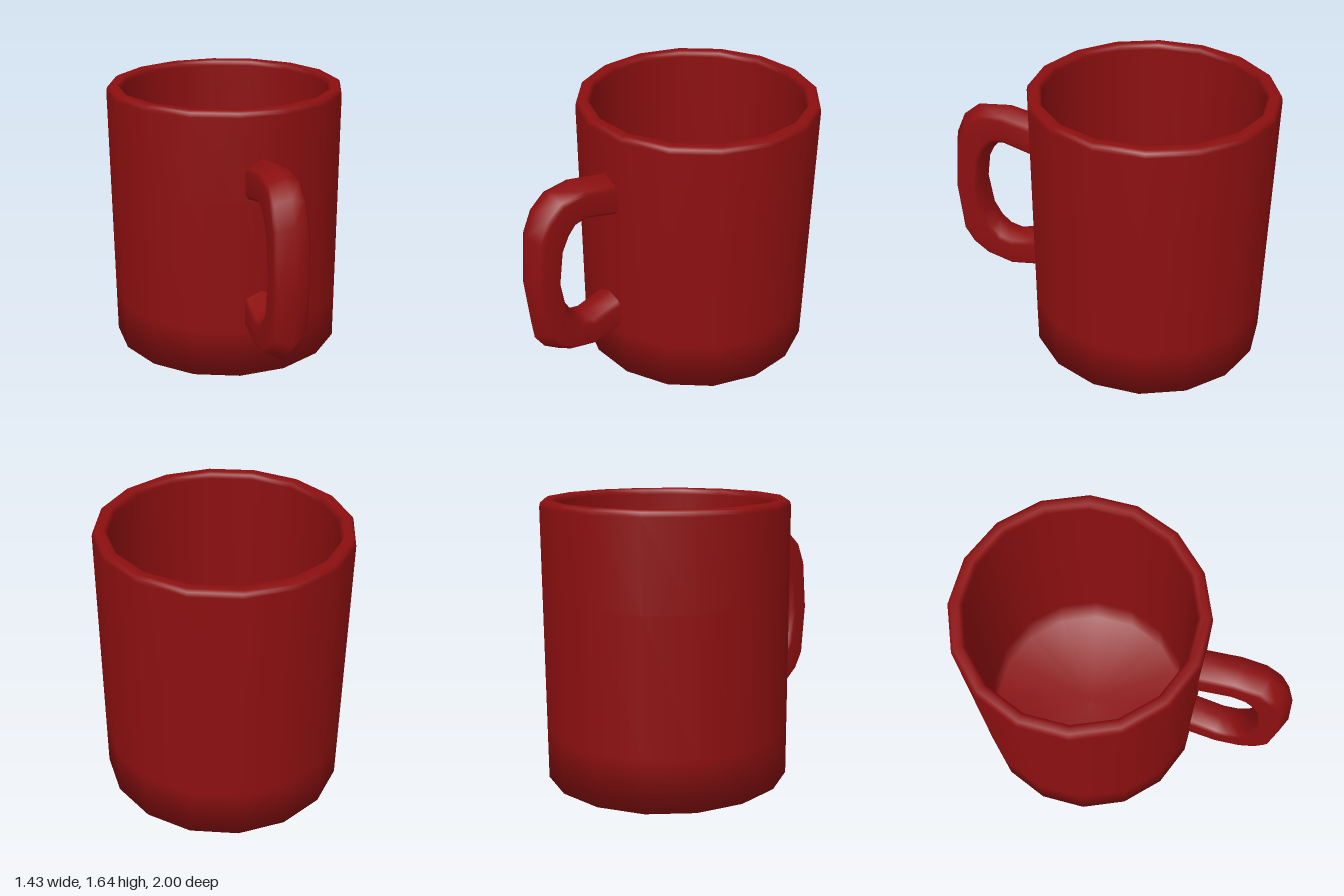
import * as THREE from 'three';

const BODY_Z = -0.285; // axis of the cup
const HANDLE_X = 0.016; // middle plane of the handle

// Sixteen-sided cup: underside, outer wall, rounded rim, inner wall, floor
function createBody(material) {
  const profile = [
    [0, 0], [0.723, 0], [0.723, 0.3], [0.723, 1.1], [0.723, 1.61], [0.717, 1.634], [0.7, 1.645],
    [0.66, 1.645], [0.646, 1.634], [0.64, 1.61], [0.64, 0.35], [0.64, 0.1], [0, 0.1],
  ].map(([r, y]) => new THREE.Vector2(r, y));
  const geometry = new THREE.LatheGeometry(profile, 16, THREE.MathUtils.degToRad(13.3));
  const body = new THREE.Mesh(geometry, material);
  body.name = 'cupBody';
  body.position.z = BODY_Z;
  return body;
}

// Handle: cross-sections strung between an outer and an inner ridge line
function createHandle(material) {
  // outer z, outer y, inner z, inner y
  const stations = [
    [0.38, 1.36, 0.38, 1.09], [0.44, 1.37, 0.44, 1.11], [0.63, 1.405, 0.625, 1.163],
    [0.805, 1.385, 0.685, 1.147], [0.91, 1.3, 0.725, 1.1], [0.97, 1.165, 0.77, 1.015],
    [1.0, 0.83, 0.8, 0.83], [0.97, 0.47, 0.77, 0.655], [0.91, 0.375, 0.72, 0.565],
    [0.805, 0.3, 0.665, 0.515], [0.615, 0.25, 0.6, 0.5], [0.44, 0.275, 0.44, 0.545],
    [0.38, 0.285, 0.38, 0.565],
  ];
  // x offset and fraction of the way from outer to inner ridge
  const half = [[0, 0], [0.085, 0.18], [0.102, 0.27], [0.102, 0.78], [0.085, 0.88], [0, 1]];
  const section = [...half, ...half.slice(1, -1).reverse().map(([x, t]) => [-x, t])];

  const positions = [];
  const indices = [];
  const n = section.length;
  stations.forEach(([oz, oy, iz, iy], k) => {
    section.forEach(([x, t], j) => {
      positions.push(HANDLE_X + x, oy + (iy - oy) * t, oz + (iz - oz) * t);
      if (k === stations.length - 1) return;
      const a = k * n + j;
      const b = k * n + (j + 1) % n;
      indices.push(a, a + n, b, b, a + n, b + n);
    });
  });
  const geometry = new THREE.BufferGeometry();
  geometry.setAttribute('position', new THREE.Float32BufferAttribute(positions, 3));
  geometry.setIndex(indices);
  geometry.computeVertexNormals();
  const handle = new THREE.Mesh(geometry, material);
  handle.name = 'handle';
  return handle;
}

export function createModel() {
  const glaze = new THREE.MeshStandardMaterial({ color: 0x8c0f10 });
  glaze.name = 'red glaze';
  const mug = new THREE.Group();
  mug.name = 'mug';
  mug.add(createBody(glaze), createHandle(glaze));
  return mug;
}
